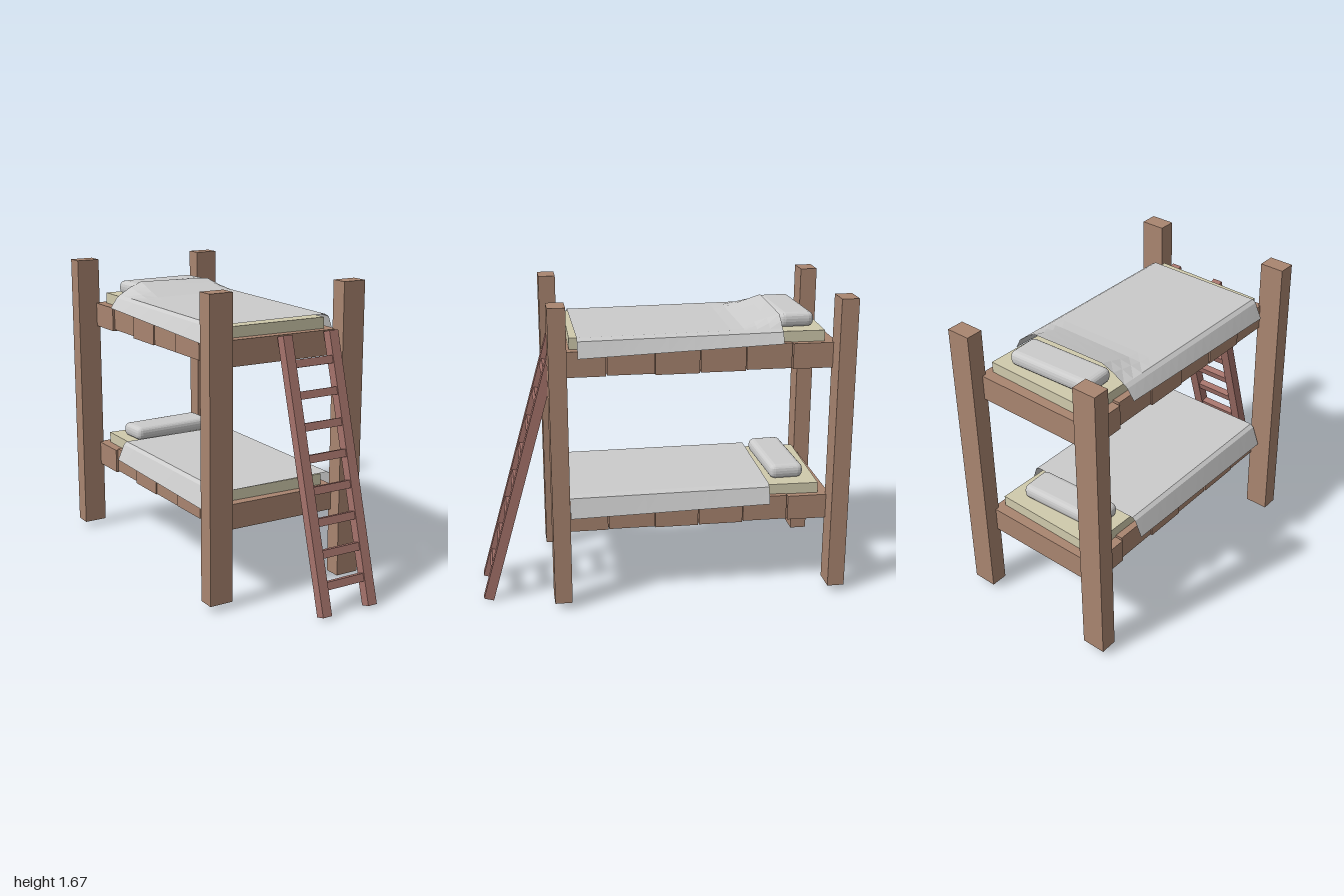
import * as THREE from 'three';
import { RoundedBoxGeometry } from 'three/addons/geometries/RoundedBoxGeometry.js';

const mat = (color, side = THREE.FrontSide) =>
  new THREE.MeshStandardMaterial({ color, side, flatShading: true });
const wood = mat(0xa98570);
const ladderWood = mat(0xa5736b);
const ticking = mat(0xd0caac);
const cloth = mat(0xcccccc);
const sheet = mat(0xcccccc, THREE.DoubleSide);

function add(parent, name, geometry, material, x = 0, y = 0, z = 0) {
  const mesh = new THREE.Mesh(geometry, material);
  mesh.name = name;
  mesh.position.set(x, y, z);
  parent.add(mesh);
  return mesh;
}

const box = (parent, name, material, w, h, d, x, y, z) =>
  add(parent, name, new THREE.BoxGeometry(w, h, d), material, x, y, z);

// Draped sheet: a cross-section of [x, y] swept along z; hump lifts its head end
function blanketGeometry(zFoot, zHead, yFoot, yHead, hemFoot, hemHead, hump) {
  const xs = [-0.4, -0.36, -0.34, -0.27, -0.2, -0.05, 0.1, 0.25, 0.3, 0.335, 0.36, 0.39];
  const lift = [0, 0, 0, 0.6, 1, 0.97, 0.92, 0.85, 0.45, 0, 0, 0];
  const rows = 16;
  const last = xs.length - 1;
  const pos = [];
  const index = [];
  for (let r = 0; r <= rows; r++) {
    const t = r / rows;
    const z = THREE.MathUtils.lerp(zFoot, zHead, t);
    const top = THREE.MathUtils.lerp(yFoot, yHead, t);
    const hem = THREE.MathUtils.lerp(hemFoot, hemHead, t);
    const rise = hump * Math.max(0, (t - 0.8) / 0.2);
    xs.forEach((x, i) => {
      const edge = i === 0 || i === last;
      const shoulder = i === 1 || i === last - 1 ? 0.015 : 0;
      pos.push(x, edge ? hem : top - shoulder + rise * lift[i], z);
      if (r < rows && i < last) {
        const a = r * xs.length + i;
        const b = a + xs.length;
        index.push(a, a + 1, b, a + 1, b + 1, b);
      }
    });
  }
  const g = new THREE.BufferGeometry();
  g.setAttribute('position', new THREE.Float32BufferAttribute(pos, 3));
  g.setIndex(index);
  g.computeVertexNormals();
  return g;
}

// One bunk: plank base, mattress, pillow and blanket, measured from the plank underside
function bunk(name, y, o) {
  const group = new THREE.Group();
  group.name = name;
  group.position.y = y;

  // Planks with slightly uneven widths, heights and tilts
  const cuts = [0.545, 0.308, 0.052, -0.19, -0.437, -0.687, -0.93];
  const widths = [0.705, 0.715, 0.705, 0.715, 0.705, 0.725];
  const drops = [0.003, 0.005, 0, 0.001, 0.008, 0.002];
  for (let i = 0; i < 6; i++) {
    const depth = cuts[i] - cuts[i + 1] - 0.005;
    const plank = box(group, 'basePlank', wood, widths[i], 0.138, depth,
      0.002, 0.07 + drops[i], (cuts[i] + cuts[i + 1]) / 2);
    plank.rotation.z = (i % 2 ? 1 : -1) * 0.005;
  }

  const mattress = box(group, 'mattress', ticking, 0.635, 0.062, 1.365, -0.003, 0.171, -0.19);
  mattress.rotation.y = -0.02;

  const pillow = add(group, 'pillow', new RoundedBoxGeometry(0.505, 0.08, 0.19, 2, 0.032),
    cloth, -0.005, 0.241, o.pillowZ);
  pillow.rotation.y = 0.04;

  add(group, 'blanket', blanketGeometry(...o.blanket), sheet);
  return group;
}

export function createModel() {
  const model = new THREE.Group();
  model.name = 'bunkBed';

  // Corner posts
  for (const x of [-0.408, 0.408])
    for (const z of [0.57, -0.953])
      box(model, 'post', wood, 0.135, 1.635, 0.094, x, 0.853, z);

  // Bunks
  model.add(bunk('lowerBunk', 0.4, {
    pillowZ: -0.7,
    blanket: [0.515, -0.583, 0.212, 0.218, 0.09, 0.113, 0],
  }));
  model.add(bunk('upperBunk', 1.27, {
    pillowZ: -0.725,
    blanket: [0.46, -0.632, 0.21, 0.222, 0.11, 0.15, 0.068],
  }));

  // Leaning ladder
  const ladder = new THREE.Group();
  ladder.name = 'ladder';
  const lean = 0.275;
  ladder.position.set(0.143, 0.71, 0.775);
  ladder.rotation.x = -lean;
  for (const x of [-0.146, 0.146])
    box(ladder, 'ladderRail', ladderWood, 0.056, 1.46, 0.055, x, 0, 0);
  for (let i = 0; i < 8; i++)
    box(ladder, 'ladderRung', ladderWood, 0.25, 0.042, 0.04,
      0, (0.155 + i * 0.159 - 0.71) / Math.cos(lean), 0);
  model.add(ladder);

  return model;
}
